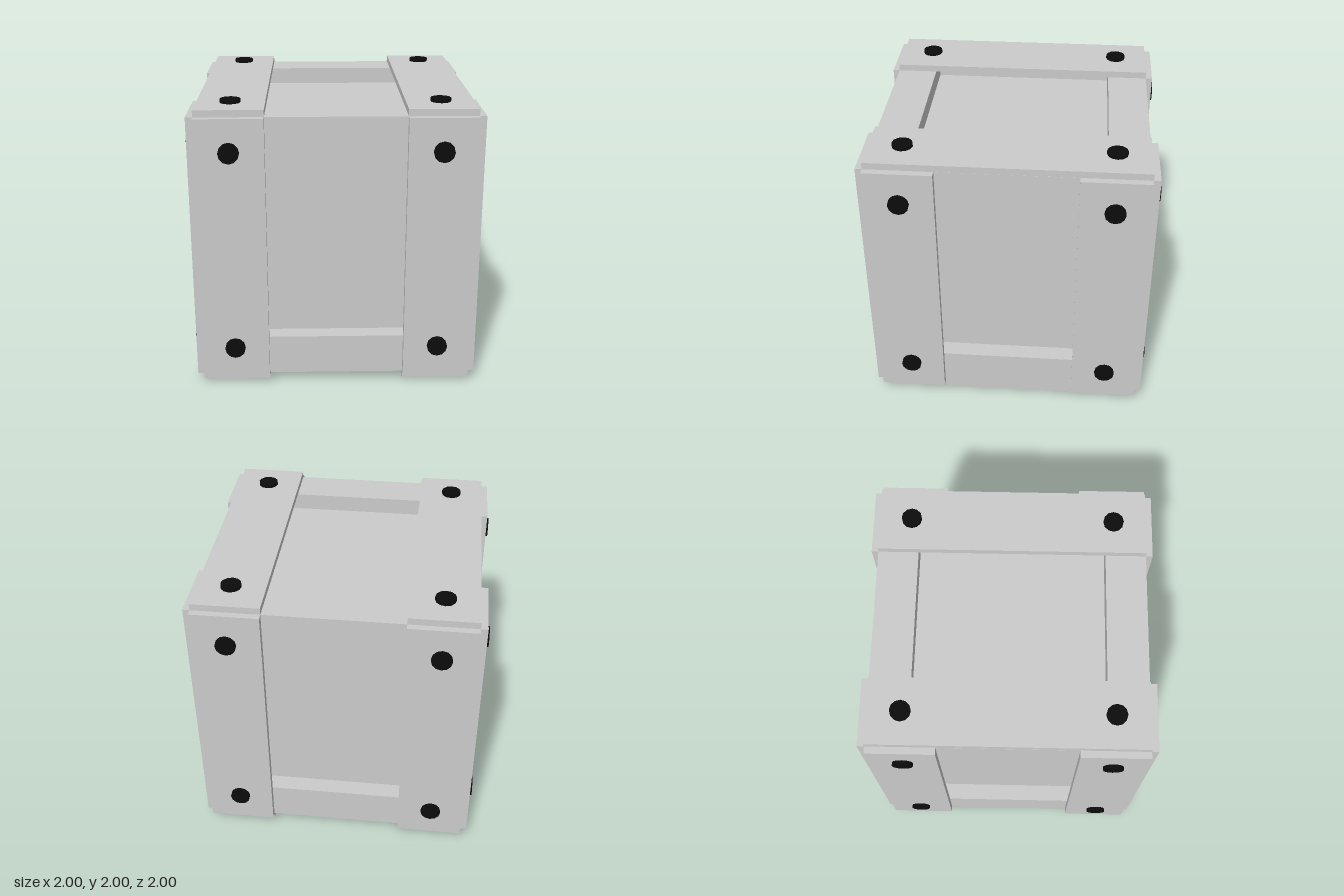
import * as THREE from 'three';

const CENTRE = 0.995;  // height of the crate's middle
const HALF = 0.928;    // half size of the frame
const BEAM = 0.28;     // width of the frame beams
const PLANK = 0.047;   // plank thickness
const BOLT = 0.07;     // bolt radius

const wood = new THREE.MeshStandardMaterial({ color: 0xcccccc, flatShading: true });
const black = new THREE.MeshStandardMaterial({ color: 0x0c0c0c, flatShading: true });

function addBox(parent, name, size, position) {
  const mesh = new THREE.Mesh(new THREE.BoxGeometry(...size), wood);
  mesh.name = name;
  mesh.position.set(...position);
  parent.add(mesh);
}

// One side facing +z: two upright planks, each held by two bolts
function makeSide(name) {
  const side = new THREE.Group();
  side.name = name;
  const boltGeometry = new THREE.CylinderGeometry(BOLT, BOLT, 0.05, 12).rotateX(Math.PI / 2);
  for (const sx of [-1, 1]) {
    addBox(side, 'plank', [0.46, 2 * HALF, PLANK], [sx * 0.697, 0, HALF + PLANK / 2]);
    for (const sy of [-1, 1]) {
      const bolt = new THREE.Mesh(boltGeometry, black);
      bolt.name = 'bolt';
      bolt.position.set(sx * 0.7, sy * 0.702, 0.973);
      side.add(bolt);
    }
  }
  return side;
}

export function createModel() {
  const model = new THREE.Group();
  model.name = 'crate';
  const body = new THREE.Group();
  body.name = 'body';
  body.position.y = CENTRE;
  model.add(body);

  // Recessed panels
  const inner = 2 * (HALF - 0.12);
  addBox(body, 'panels', [inner, inner, inner], [0, 0, 0]);

  // Frame: four beams along each axis; only the x beams run into the corners
  const offset = HALF - BEAM / 2;
  for (let axis = 0; axis < 3; axis++) {
    const size = [BEAM, BEAM, BEAM];
    size[axis] = axis === 0 ? 2 * HALF : 2 * (HALF - BEAM);
    for (const a of [-1, 1]) {
      for (const b of [-1, 1]) {
        const position = [0, 0, 0];
        position[(axis + 1) % 3] = a * offset;
        position[(axis + 2) % 3] = b * offset;
        addBox(body, 'frameBeam', size, position);
      }
    }
  }

  // Planks and bolts on the four walls, then on the top and bottom
  ['front', 'left', 'back', 'right'].forEach((name, i) => {
    const side = makeSide(name + 'Side');
    side.rotation.y = i * Math.PI / 2;
    body.add(side);
  });
  for (const [name, turn] of [['topSide', -1], ['bottomSide', 1]]) {
    const side = makeSide(name);
    side.rotation.x = turn * Math.PI / 2;
    body.add(side);
  }
  return model;
}
